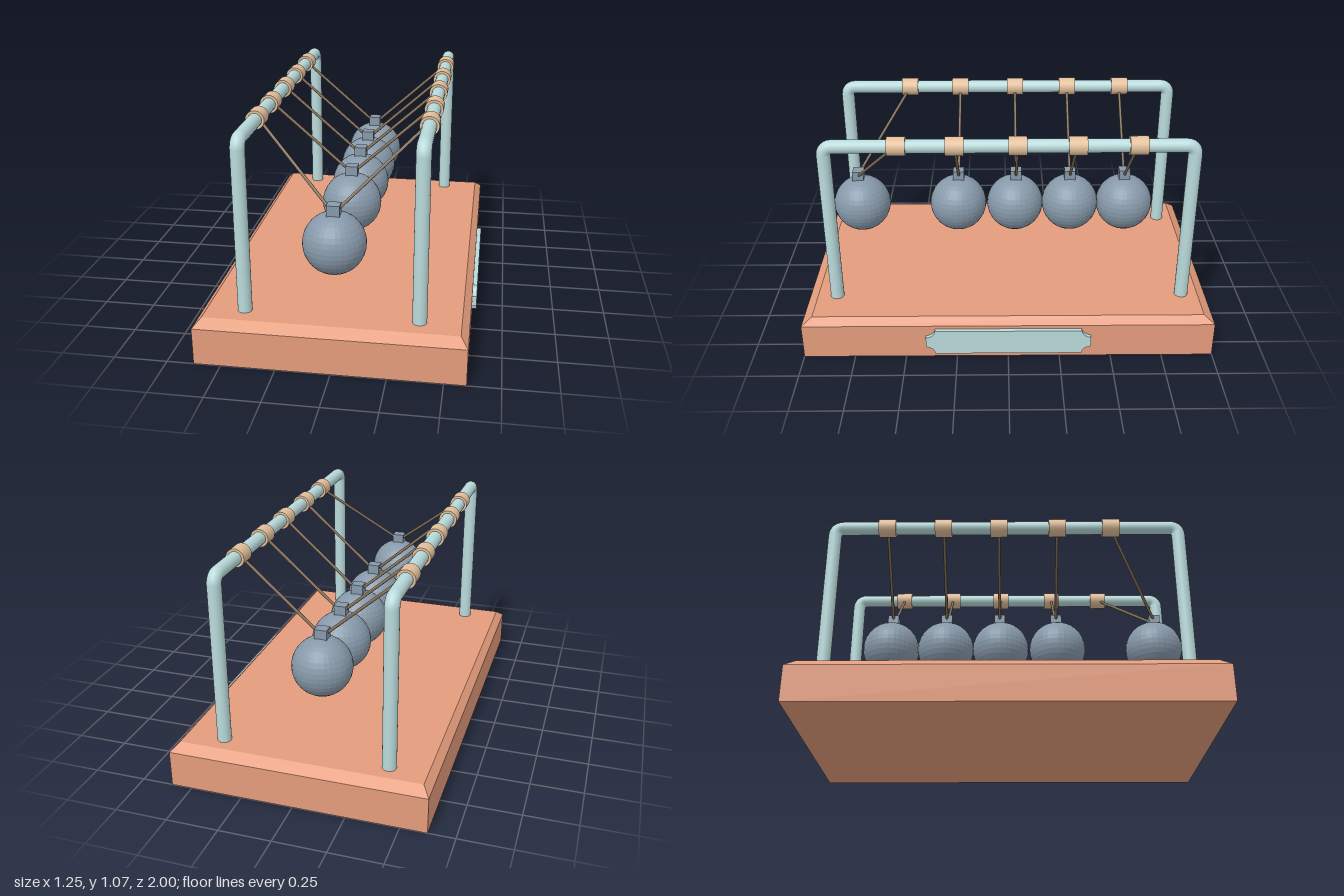
import * as THREE from 'three';

const mat = (color, extra = {}) => new THREE.MeshStandardMaterial({ color, ...extra });
const wood = mat(0xe49c7c, { flatShading: true });
const metal = mat(0xb9dadb);
const steel = mat(0x8799aa, { flatShading: true });
const brass = mat(0xe2bf9b);
const cord = mat(0x86725a);

function add(parent, name, geometry, material, x = 0, y = 0, z = 0) {
  const mesh = new THREE.Mesh(geometry, material);
  mesh.name = name;
  mesh.position.set(x, y, z);
  parent.add(mesh);
  return mesh;
}

// Round rod between two points
function rod(parent, name, a, b, radius, material, sides = 24) {
  const from = new THREE.Vector3(...a), to = new THREE.Vector3(...b);
  const dir = to.clone().sub(from);
  const geometry = new THREE.CylinderGeometry(radius, radius, dir.length(), sides);
  const mesh = add(parent, name, geometry, material);
  mesh.position.copy(from).addScaledVector(dir, 0.5);
  mesh.quaternion.setFromUnitVectors(new THREE.Vector3(0, 1, 0), dir.normalize());
  return mesh;
}

// Wooden plinth with a chamfered top
function makeBase() {
  const base = new THREE.Group();
  base.name = 'base';
  add(base, 'plinth', new THREE.BoxGeometry(1.225, 0.177, 2), wood, -0.0125, 0.0885, 0);
  const top = new THREE.BoxGeometry(1.225, 0.035, 2);
  const p = top.attributes.position;
  for (let i = 0; i < p.count; i++) {
    if (p.getY(i) > 0) {
      p.setX(i, p.getX(i) - Math.sign(p.getX(i)) * 0.034);
      p.setZ(i, p.getZ(i) - Math.sign(p.getZ(i)) * 0.05);
    }
  }
  top.computeVertexNormals();
  add(base, 'chamferedTop', top, wood, -0.0125, 0.1945, 0);
  return base;
}

// Name plate with scooped corners on the +x side
function makePlaque() {
  const w = 0.4, w2 = 0.355, h = 0.026, h2 = 0.065;
  const s = new THREE.Shape();
  s.moveTo(-w2, -h2);
  s.lineTo(w2, -h2);
  s.quadraticCurveTo(w2 + 0.005, -h - 0.005, w, -h);
  s.lineTo(w, h);
  s.quadraticCurveTo(w2 + 0.005, h + 0.005, w2, h2);
  s.lineTo(-w2, h2);
  s.quadraticCurveTo(-w2 - 0.005, h + 0.005, -w, h);
  s.lineTo(-w, -h);
  s.quadraticCurveTo(-w2 - 0.005, -h - 0.005, -w2, -h2);
  const geometry = new THREE.ExtrudeGeometry(s, { depth: 0.025, bevelEnabled: false, curveSegments: 4 });
  geometry.rotateY(Math.PI / 2);
  const plaque = new THREE.Mesh(geometry, metal);
  plaque.name = 'plaque';
  plaque.position.set(0.596, 0.095, 0);
  return plaque;
}

// Bent tube: two posts, two elbows and a top bar
function makeFrame(name, x, y) {
  const frame = new THREE.Group();
  frame.name = name;
  const r = 0.033, bend = 0.04, front = 0.853, back = -0.868;
  for (const [z, s] of [[front, 1], [back, -1]]) {
    rod(frame, 'post', [x, 0.2, z], [x, y - bend, z], r, metal);
    const elbow = new THREE.TorusGeometry(bend, r, 24, 6, Math.PI / 2);
    elbow.rotateY(-s * Math.PI / 2);
    add(frame, 'elbow', elbow, metal, x, y - bend, z - s * bend);
  }
  rod(frame, 'topBar', [x, y, back + bend], [x, y, front - bend], r, metal);
  return frame;
}

export function createModel() {
  const model = new THREE.Group();
  model.name = 'swingingBalls';
  model.add(makeBase(), makePlaque());

  const rails = [
    { name: 'rightFrame', x: -0.415, y: 1.02, side: 1 },
    { name: 'leftFrame', x: 0.379, y: 1.028, side: -1 },
  ];
  for (const { name, x, y } of rails) model.add(makeFrame(name, x, y));

  // Each pendulum: collar z, ball z, cap z (the first is swung forward)
  const pendulums = [
    [0.515, 0.756, 0.766],
    [0.247, 0.255, 0.25],
    [-0.045, -0.04, -0.045],
    [-0.323, -0.326, -0.323],
    [-0.604, -0.61, -0.604],
  ];
  const ballX = -0.017, ballY = 0.53;
  pendulums.forEach(([collarZ, ballZ, capZ], i) => {
    const group = new THREE.Group();
    group.name = `pendulum${i + 1}`;
    model.add(group);
    add(group, 'ball', new THREE.SphereGeometry(0.145, 32, 18), steel, ballX, ballY, ballZ);
    add(group, 'cap', new THREE.BoxGeometry(0.06, 0.06, 0.056), steel, ballX, 0.688, capZ);
    for (const { x, y, side } of rails) {
      rod(group, 'collar', [x, y, collarZ - 0.043], [x, y, collarZ + 0.043], 0.045, brass);
      rod(group, 'string', [x + side * 0.026, y - 0.018, collarZ + (i ? 0 : 0.015)],
        [ballX - side * 0.015, 0.69, capZ], 0.0075, cord, 8);
    }
  });
  return model;
}
